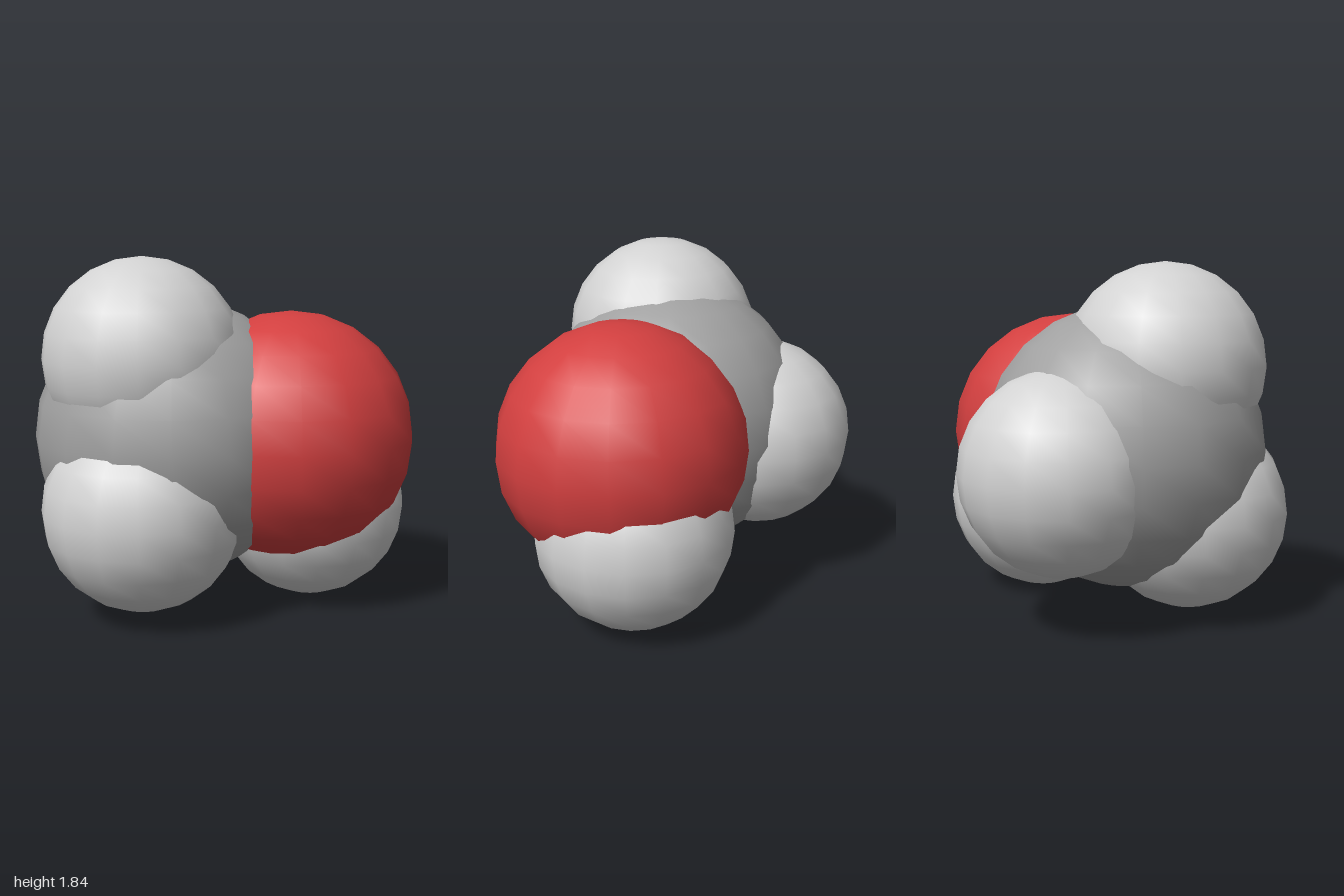
import * as THREE from 'three';

// Space-filling molecule: overlapping spheres sized by atom type.
const makeMaterial = (name, color) => {
  const material = new THREE.MeshStandardMaterial({ color });
  material.name = name;
  return material;
};

export function createModel() {
  const group = new THREE.Group();
  group.name = 'molecule';

  const grey = makeMaterial('grey', 0xa0a0a0);
  const red = makeMaterial('red', 0xd23f3f);
  const paleGrey = makeMaterial('paleGrey', 0xd2d2d2);

  const addAtom = (name, radius, material, x, y, z) => {
    const atom = new THREE.Mesh(new THREE.SphereGeometry(radius, 16, 12), material);
    atom.name = name;
    atom.position.set(x, y, z);
    group.add(atom);
  };

  // Two large atoms side by side
  const carbon = new THREE.Vector3(-0.269, 0.9, 0.067);
  addAtom('carbonAtom', 0.731, grey, carbon.x, carbon.y, carbon.z);
  addAtom('oxygenAtom', 0.654, red, 0.346, 0.9, 0.067);

  // Three hydrogens spaced evenly around the carbon
  const hydrogenRadius = 0.516;
  const ringRadius = 0.446;
  ['upperHydrogen', 'frontHydrogen', 'backHydrogen'].forEach((name, i) => {
    const angle = THREE.MathUtils.degToRad(18.8 + i * 120);
    addAtom(name, hydrogenRadius, paleGrey,
      carbon.x - 0.155,
      carbon.y + ringRadius * Math.cos(angle),
      carbon.z + ringRadius * Math.sin(angle));
  });

  // One hydrogen under the oxygen
  addAtom('oxygenHydrogen', hydrogenRadius, paleGrey, 0.466, 0.516, -0.06);

  return group;
}
